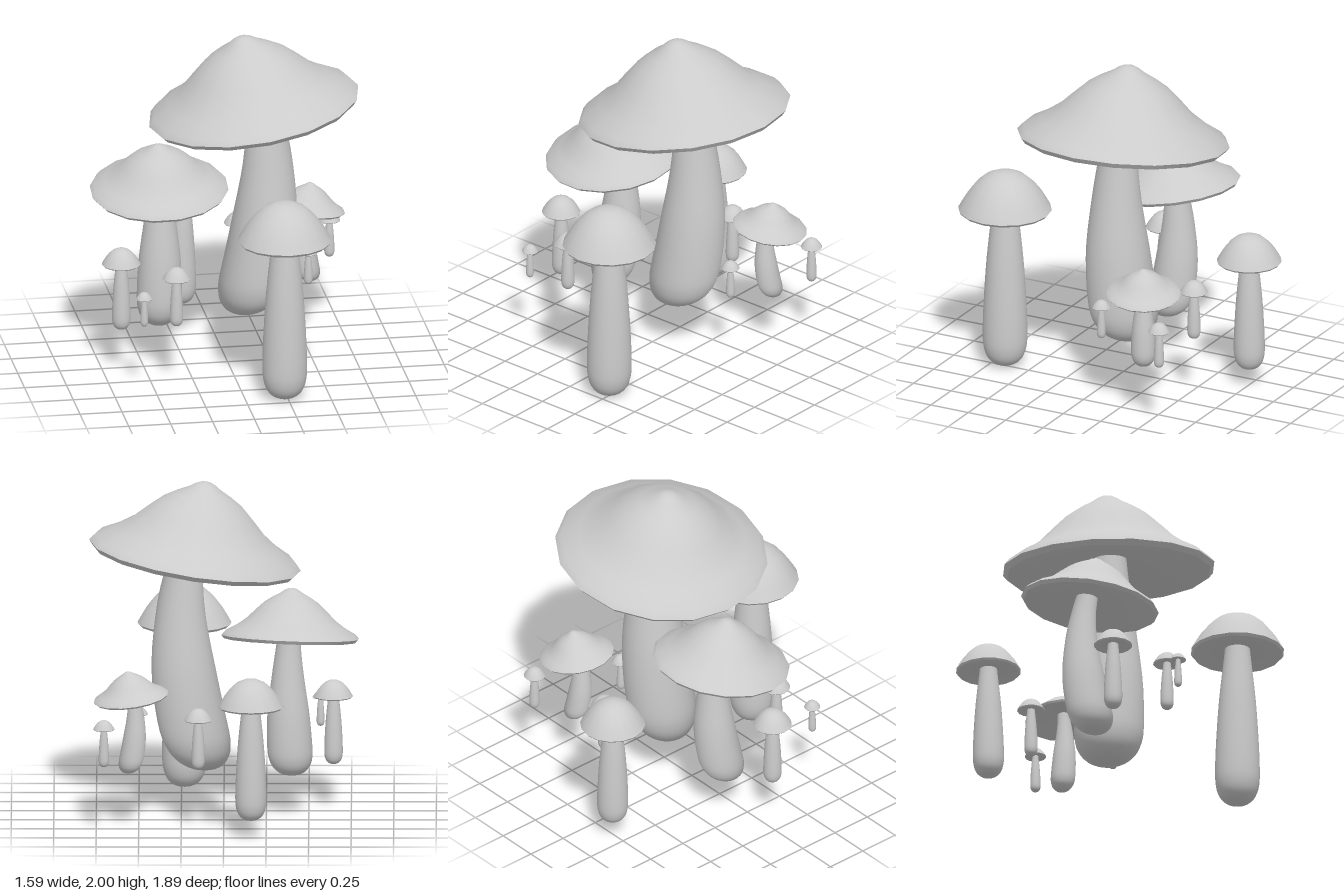
import * as THREE from 'three';
import { toCreasedNormals } from 'three/addons/utils/BufferGeometryUtils.js';

const material = new THREE.MeshStandardMaterial({ color: 0xcccccc });
const toPoints = (pairs) => pairs.map(([r, y]) => new THREE.Vector2(r, y));

// Cap: a 16-sided lathe with a crisp rim, from the underside centre to the apex
function capGeometry(profile) {
  return toCreasedNormals(new THREE.LatheGeometry(toPoints(profile), 16), 0.7);
}

// Stem: a smooth club, bent sideways along x by a rule of its height
function stemGeometry(profile, bend) {
  const points = new THREE.SplineCurve(toPoints(profile)).getPoints(28);
  points.forEach((p) => { p.x = Math.max(p.x, 0); });
  const geometry = new THREE.LatheGeometry(points, 28);
  if (bend) {
    const pos = geometry.attributes.position;
    for (let i = 0; i < pos.count; i++) pos.setX(i, pos.getX(i) + bend(pos.getY(i)));
  }
  return geometry;
}

// Wide, pointed and tilted kind
const wide = {
  cap: capGeometry([
    [0, 0.07], [0.2, 0.06], [0.4, 0.02], [0.605, -0.03], [0.63, 0], [0.6, 0.035],
    [0.5, 0.09], [0.41, 0.155], [0.33, 0.235], [0.25, 0.31], [0.17, 0.362],
    [0.1, 0.4], [0.065, 0.425], [0.035, 0.44], [0, 0.445],
  ]),
  stem: stemGeometry([
    [0, 0], [0.09, 0.02], [0.155, 0.07], [0.193, 0.15], [0.205, 0.28],
    [0.19, 0.6], [0.148, 0.93], [0.112, 1.22], [0.098, 1.4],
  ], (y) => 0.085 - (y > 0.95 ? 0.32 : 0.16) * (y - 0.95) ** 2),
  rimHeight: 1.295,
  tilt: THREE.MathUtils.degToRad(8.7),
};

// Upright, domed kind
const domed = {
  cap: capGeometry([
    [0, 0.03], [0.14, 0.02], [0.265, -0.005], [0.277, 0.01], [0.255, 0.05],
    [0.222, 0.105], [0.175, 0.165], [0.12, 0.213], [0.06, 0.24], [0, 0.248],
  ]),
  stem: stemGeometry([
    [0, 0], [0.06, 0.014], [0.102, 0.05], [0.125, 0.11], [0.132, 0.2],
    [0.126, 0.4], [0.108, 0.68], [0.08, 0.95], [0.07, 1.06],
  ]),
  rimHeight: 0.98,
  tilt: 0,
};

function mushroom(name, kind, [x, y, z], scale, turn = 0) {
  const group = new THREE.Group();
  group.name = name;
  const stem = new THREE.Mesh(kind.stem, material);
  stem.name = 'stem';
  const cap = new THREE.Mesh(kind.cap, material);
  cap.name = 'cap';
  cap.position.y = kind.rimHeight;
  cap.rotation.z = kind.tilt;
  group.add(stem, cap);
  group.position.set(x, y, z);
  group.rotation.y = THREE.MathUtils.degToRad(turn);
  group.scale.setScalar(scale);
  return group;
}

export function createModel() {
  const model = new THREE.Group();
  model.name = 'mushroomCluster';

  // Three tilted mushrooms, each turned its own way
  model.add(
    mushroom('largeMushroom', wide, [0.17, 0.27, -0.09], 1),
    mushroom('mediumMushroom', wide, [-0.39, 0.235, -0.11], 0.65, 76),
    mushroom('smallTiltedMushroom', wide, [0.545, 0.325, -0.425], 0.353, 210),
  );

  // Upright mushrooms: position of the foot, then scale
  const upright = [
    ['frontMushroom', [0.233, 0.005, 0.667], 1],
    ['backMushroom', [-0.16, 0.11, -0.753], 0.695],
    ['rightMushroom', [-0.645, 0.272, 0.07], 0.413],
    ['frontRightMushroom', [-0.36, 0.375, 0.345], 0.298],
    ['frontRightTinyMushroom', [-0.568, 0.42, 0.445], 0.174],
    ['leftTinyMushroom', [0.5, 0.42, -0.12], 0.196],
    ['backLeftTinyMushroom', [0.705, 0.402, -0.615], 0.23],
    ['backSmallMushroom', [0.15, 0.375, -0.55], 0.298],
  ];
  for (const [name, foot, scale] of upright) model.add(mushroom(name, domed, foot, scale));

  return model;
}
